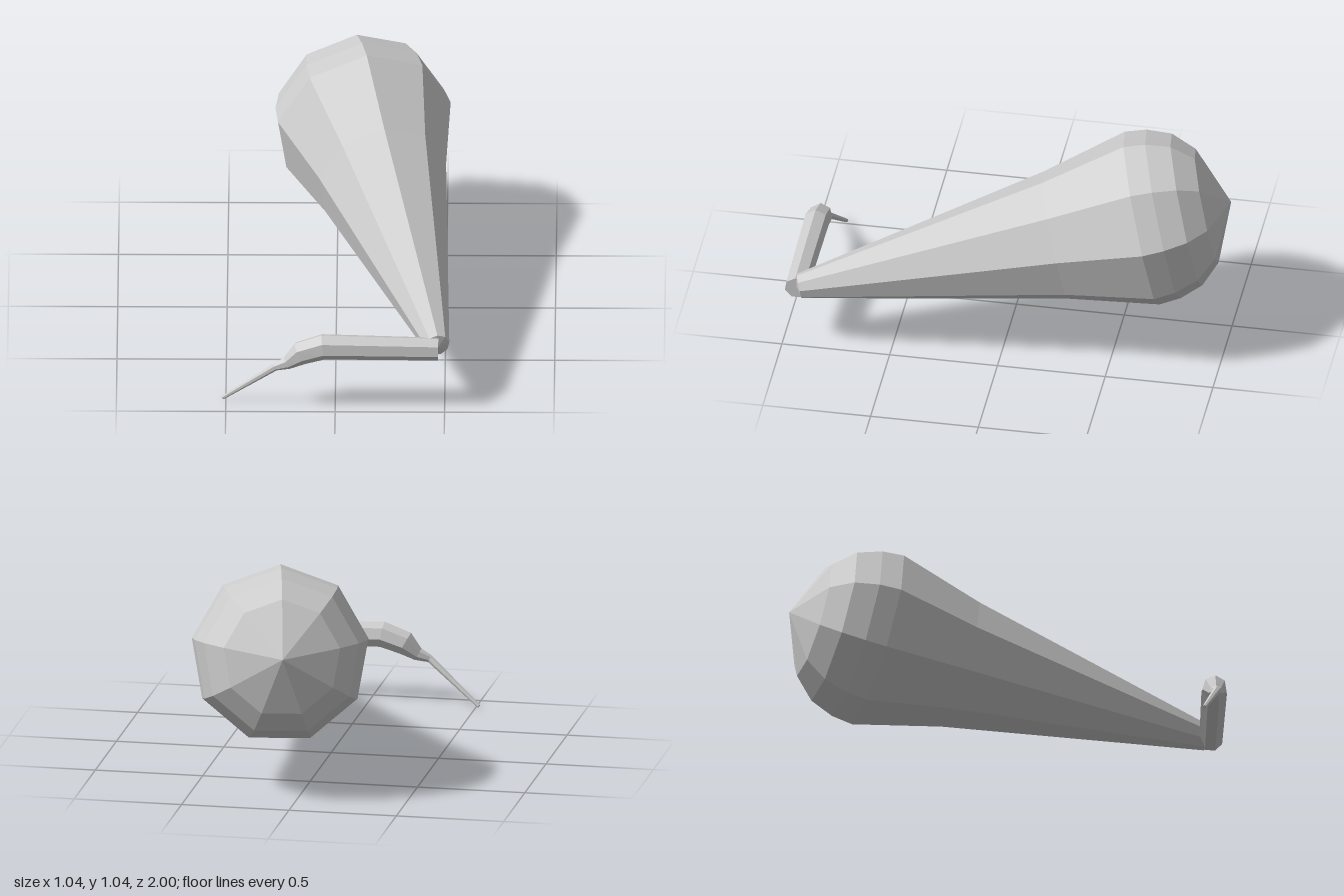
import * as THREE from 'three';

const V = (x, y, z) => new THREE.Vector3(x, y, z);

// Lofts a faceted skin through rings {c: centre, r: radius, t: axis}; start and end are the cap centres.
function loft(rings, sides, phase, ref, start, end) {
  const loops = rings.map(({ c, r, t }) => {
    const e1 = ref.clone().addScaledVector(t, -ref.dot(t)).normalize();
    const e2 = t.clone().cross(e1);
    return Array.from({ length: sides }, (_, j) => {
      const a = phase + (j / sides) * Math.PI * 2;
      return c.clone().addScaledVector(e1, r * Math.cos(a)).addScaledVector(e2, r * Math.sin(a));
    });
  });
  const pts = [];
  const last = loops[loops.length - 1];
  for (let j = 0; j < sides; j++) {
    const k = (j + 1) % sides;
    pts.push(start, loops[0][k], loops[0][j]);
    for (let i = 0; i < loops.length - 1; i++) {
      const p = loops[i], q = loops[i + 1];
      pts.push(p[j], p[k], q[k], p[j], q[k], q[j]);
    }
    pts.push(end, last[j], last[k]);
  }
  const geo = new THREE.BufferGeometry().setFromPoints(pts);
  geo.computeVertexNormals();
  return geo;
}

export function createModel() {
  const group = new THREE.Group();
  const material = new THREE.MeshStandardMaterial({ color: 0xcccccc, flatShading: true });
  const add = (name, geo) => {
    const mesh = new THREE.Mesh(geo, material);
    mesh.name = name;
    group.add(mesh);
  };

  // Upper segment: nine-sided bulb with a domed end, tapering to the joint
  const joint = V(0.465, 0.31, 0.925);
  const bulb = V(0.12, 0.63, -0.6);
  const axis = joint.clone().sub(bulb);
  const length = axis.length();
  axis.normalize();
  const along = (s) => bulb.clone().addScaledVector(axis, s);
  const profile = [[-0.305, 0.27], [-0.21, 0.36], [-0.1, 0.4], [0, 0.41], [length * 0.25, 0.302], [length, 0.058]];
  const bulbRings = profile.map(([s, r]) => ({ c: along(s), r, t: axis }));
  add('upperSegment', loft(bulbRings, 9, THREE.MathUtils.degToRad(8), V(1, 0, 0), along(-0.42), along(length + 0.015)));

  // Lower segment: seven-sided shank that bends at the ankle and thins to a spike
  const path = [
    [0.47, 0.3, 0.94, 0.054],
    [-0.055, 0.31, 0.94, 0.06],
    [-0.16, 0.275, 0.938, 0.056],
    [-0.22, 0.225, 0.94, 0.031],
    [-0.275, 0.205, 0.943, 0.018],
    [-0.515, 0.01, 0.88, 0.009],
  ];
  const centres = path.map(([x, y, z]) => V(x, y, z));
  const shankRings = centres.map((c, i) => {
    const before = centres[Math.max(i - 1, 0)], after = centres[Math.min(i + 1, centres.length - 1)];
    const t = after.clone().sub(c).normalize().add(c.clone().sub(before).normalize()).normalize();
    return { c, r: path[i][3], t };
  });
  add('lowerSegment', loft(shankRings, 7, THREE.MathUtils.degToRad(35), V(0, 0, 1), centres[0], centres[5]));

  return group;
}
